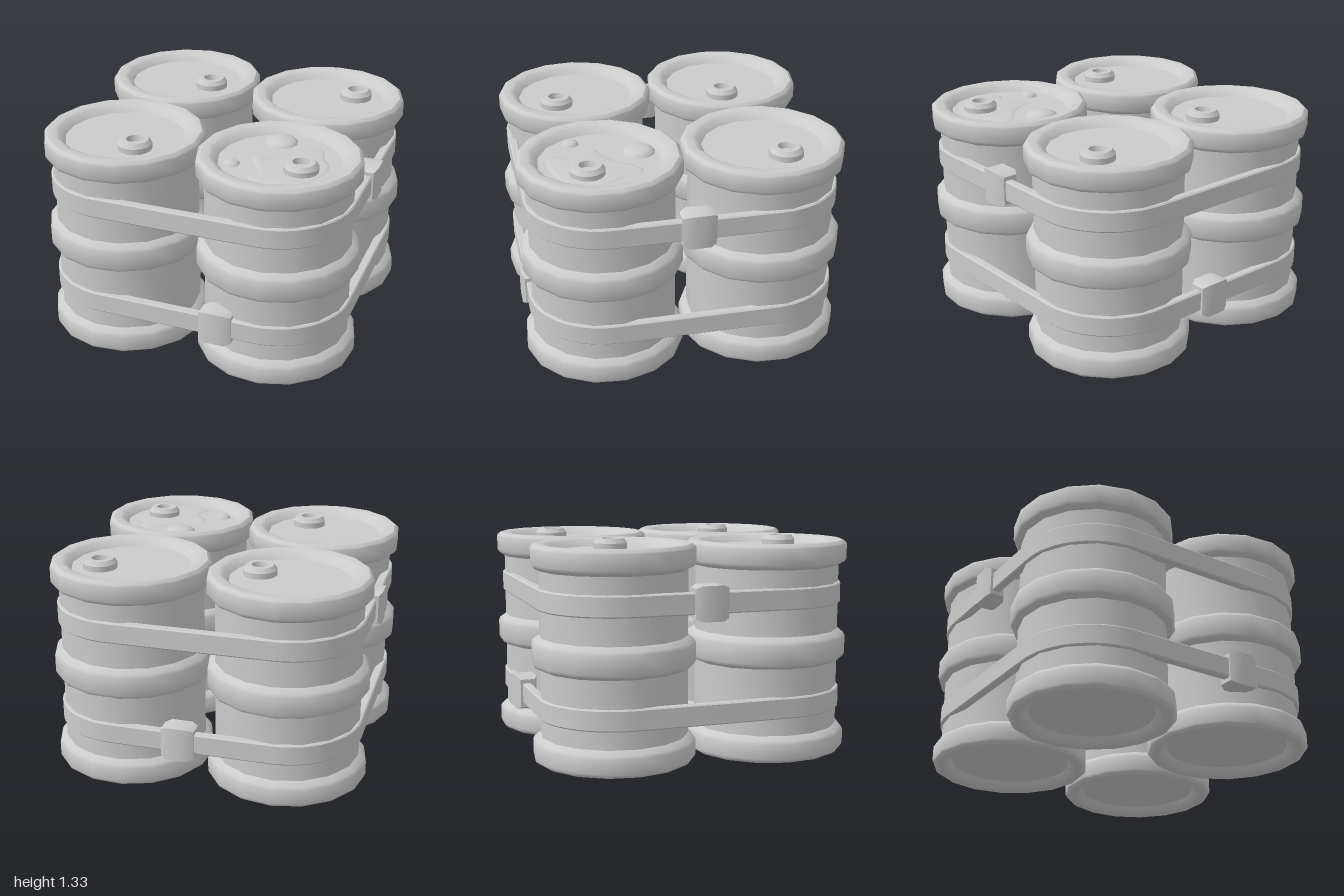
import * as THREE from 'three';
import { toCreasedNormals } from 'three/addons/utils/BufferGeometryUtils.js';

const material = new THREE.MeshStandardMaterial({ color: 0xcccccc });
const LID = 1.27;

function part(name, geometry, crease = 0.65) {
  const mesh = new THREE.Mesh(toCreasedNormals(geometry, crease), material);
  mesh.name = name;
  return mesh;
}

function lathe(points, sides) {
  return new THREE.LatheGeometry(points.map(([r, y]) => new THREE.Vector2(r, y)), sides);
}

// Drum: recessed base, three raised hoops, recessed lid
function drumGeometry() {
  return lathe([
    [0, 0.05], [0.38, 0.05], [0.41, 0.01], [0.43, 0], [0.475, 0], [0.495, 0.015],
    [0.5, 0.03], [0.5, 0.115], [0.49, 0.135], [0.452, 0.16],
    [0.452, 0.57], [0.49, 0.59], [0.5, 0.61], [0.5, 0.72], [0.49, 0.74], [0.452, 0.765],
    [0.452, 1.165], [0.49, 1.185], [0.5, 1.205], [0.5, 1.295], [0.495, 1.305],
    [0.475, 1.32], [0.43, 1.32], [0.405, 1.31], [0.37, LID], [0, LID],
  ], 16);
}

// Filler cap with a sunken centre
function bungGeometry() {
  return lathe([
    [0.105, -0.01], [0.105, 0.035], [0.085, 0.062], [0.052, 0.062], [0.045, 0.025], [0, 0.025],
  ], 16);
}

// Rounded square outline used for both edges of a strap
function roundedSquare(path, radius) {
  const c = 0.5, q = Math.PI / 2;
  [[c, c], [-c, c], [-c, -c], [c, -c]].forEach(([x, y], i) =>
    path.absarc(x, y, radius, i * q, (i + 1) * q, false));
  path.closePath();
  return path;
}

function strap(name, y) {
  const shape = roundedSquare(new THREE.Shape(), 0.458);
  shape.holes.push(roundedSquare(new THREE.Path(), 0.418));
  const geometry = new THREE.ExtrudeGeometry(shape, {
    depth: 0.114, curveSegments: 6, bevelThickness: 0.008, bevelSize: 0.008, bevelSegments: 1,
  });
  geometry.translate(0, 0, -0.057).rotateX(-Math.PI / 2);
  const mesh = part(name, geometry);
  mesh.position.y = y;
  return mesh;
}

// Buckle: a block whose two ends taper in
function buckleGeometry() {
  const geometry = new THREE.BoxGeometry(0.205, 0.21, 0.13, 4, 1, 1);
  const p = geometry.attributes.position;
  for (let i = 0; i < p.count; i++) {
    const x = p.getX(i);
    if (Math.abs(x) > 0.1) {
      p.setY(i, p.getY(i) * 0.85);
      p.setZ(i, p.getZ(i) * 0.7);
    } else if (Math.abs(x) > 0.01) p.setX(i, Math.sign(x) * 0.065);
  }
  return geometry;
}

// Spilled liquid on one lid
function puddle() {
  const outline = [
    [0.33, 0.48], [0.41, 0.47], [0.52, 0.39], [0.59, 0.3], [0.67, 0.25], [0.73, 0.29],
    [0.75, 0.38], [0.81, 0.47], [0.815, 0.59], [0.75, 0.735], [0.59, 0.815], [0.43, 0.82],
    [0.377, 0.76], [0.41, 0.67], [0.35, 0.59], [0.32, 0.52],
  ].map(([x, z]) => new THREE.Vector2(x, -z));
  const shape = new THREE.Shape();
  shape.moveTo(outline[0].x, outline[0].y);
  shape.splineThru([...outline.slice(1), outline[0]]);
  const geometry = new THREE.ExtrudeGeometry(shape, {
    depth: 0.005, curveSegments: 3, bevelThickness: 0.025, bevelSize: 0.035,
    bevelOffset: -0.035, bevelSegments: 3,
  });
  geometry.rotateX(-Math.PI / 2);
  const mesh = part('puddle', geometry, 0.8);
  mesh.position.y = LID - 0.025;
  return mesh;
}

function droplet(x, z, radius, sides, height) {
  const geometry = new THREE.SphereGeometry(radius, sides, 4, 0, Math.PI * 2, 0, Math.PI / 2);
  geometry.scale(1, height / radius, 1);
  const mesh = part('droplet', geometry, 0.9);
  mesh.position.set(x, LID, z);
  return mesh;
}

export function createModel() {
  const group = new THREE.Group();
  group.name = 'strappedDrums';

  // Drum centre, turn, and filler cap position
  const drums = [
    [-0.5, -0.5, 0.03, -0.305, -0.46],
    [0.5, -0.5, 0.14, 0.665, -0.6],
    [-0.5, 0.5, -0.1, -0.37, 0.64],
    [0.5, 0.5, 0.1, 0.66, 0.595],
  ];
  for (const [x, z, turn, bx, bz] of drums) {
    const drum = part('drum', drumGeometry());
    drum.position.set(x, 0, z);
    drum.rotation.y = turn;
    const bung = part('fillerCap', bungGeometry(), 0.5);
    bung.position.set(bx, LID, bz);
    group.add(drum, bung);
  }

  // Straps around all four drums
  group.add(strap('upperStrap', 0.995), strap('lowerStrap', 0.335));

  // Buckles: upper pair on the sides, lower pair front and back
  const buckles = [
    [0.93, 0.995, 0, Math.PI / 2],
    [-0.935, 0.995, -0.045, Math.PI / 2],
    [0.265, 0.335, 0.93, 0],
    [0.065, 0.335, -0.935, 0],
  ];
  for (const [x, y, z, turn] of buckles) {
    const buckle = part('buckle', buckleGeometry(), 0.75);
    buckle.position.set(x, y, z);
    buckle.rotation.y = turn;
    group.add(buckle);
  }

  // Spill on the front left drum
  group.add(puddle(), droplet(0.43, 0.25, 0.1, 12, 0.035), droplet(0.245, 0.64, 0.055, 7, 0.025));
  return group;
}
